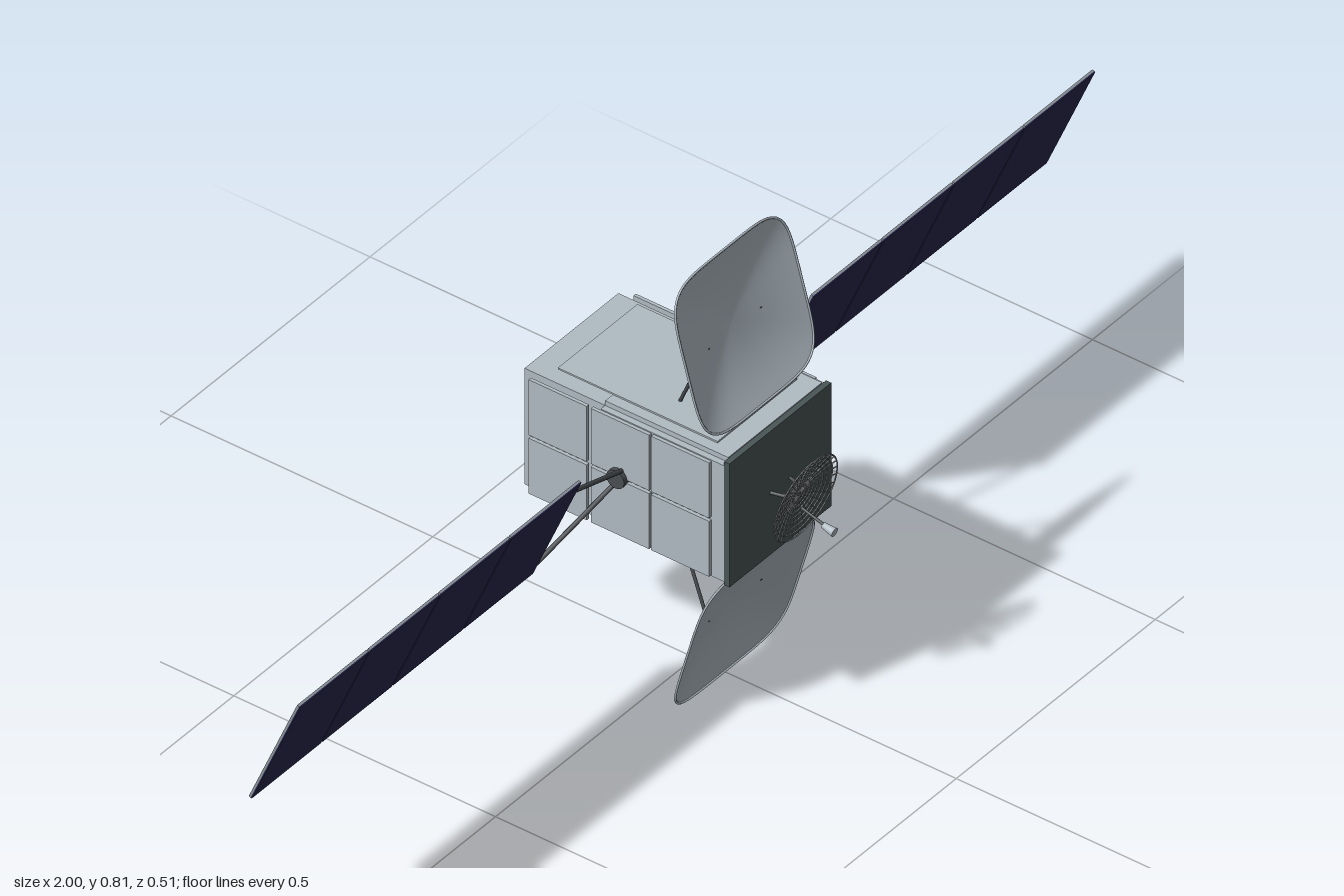
import * as THREE from 'three';

const CY = 0.409; // height of the satellite's axis
const mat = (name, color, side = THREE.FrontSide) => {
  const m = new THREE.MeshStandardMaterial({ color, side });
  m.name = name;
  return m;
};

export function createModel() {
  const root = new THREE.Group();
  root.name = 'satellite';
  const hull = mat('hull grey', 0xb0bbc3);
  const reflector = mat('reflector grey', 0xb0bbc3, THREE.DoubleSide);
  const slate = mat('slate', 0x4a5557);
  const navy = mat('solar navy', 0x2a2850);
  const backing = mat('panel backing grey', 0x899198);
  const dark = mat('strut grey', 0x4a4e52);
  const engineGrey = mat('engine grey', 0x747c82, THREE.DoubleSide);
  const meshGrey = mat('mesh grey', 0x868b8e);

  const add = (parent, name, geo, material, x = 0, y = 0, z = 0) => {
    const m = new THREE.Mesh(geo, material);
    m.name = name;
    m.position.set(x, y, z);
    parent.add(m);
    return m;
  };
  const box = (parent, name, material, w, h, d, x, y, z) =>
    add(parent, name, new THREE.BoxGeometry(w, h, d), material, x, y, z);
  const beam = (parent, name, material, a, b, r = 0.003) => {
    const p = new THREE.Vector3(...a), q = new THREE.Vector3(...b);
    const m = add(parent, name, new THREE.CylinderGeometry(r, r, p.distanceTo(q), 8), material);
    m.position.copy(p).lerp(q, 0.5);
    m.quaternion.setFromUnitVectors(new THREE.Vector3(0, 1, 0), q.sub(p).normalize());
    return m;
  };

  // Body: core box, dark front plate, top and bottom skins
  const body = new THREE.Group();
  body.name = 'body';
  root.add(body);
  box(body, 'core', hull, 0.236, 0.222, 0.39, 0, CY, -0.04);
  box(body, 'frontPlate', slate, 0.256, 0.236, 0.01, 0, CY, 0.159);
  for (const s of [-1, 1]) {
    box(body, 'skin', hull, 0.236, 0.01, 0.235, 0, CY + s * 0.115, 0.0365);
    box(body, 'outerPlate', hull, 0.2, 0.003, 0.305, 0, CY + s * 0.1225, -0.0325);
    // Side tiles, three by two, held off the core by small pegs
    for (const z of [0.075, -0.04, -0.159])
      for (const v of [-1, 1]) {
        box(body, 'sideTile', hull, 0.006, 0.106, 0.111, s * 0.132, CY + v * 0.056, z);
        box(body, 'tilePeg', dark, 0.014, 0.01, 0.01, s * 0.124, CY + v * 0.056, z);
      }
    box(body, 'sideFrame', hull, 0.012, 0.222, 0.235, s * 0.123, CY, 0.0365);
  }

  // Rear engine ring
  const ring = [[0, -0.005], [0.05, -0.005], [0.053, 0.008], [0.06, 0.008], [0.063, 0.001],
    [0.068, 0.001], [0.072, 0.02], [0.085, 0.02], [0.085, 0]].map(p => new THREE.Vector2(...p));
  const rings = [];
  ring.forEach((p, i) => { if (i) rings.push([ring[i - 1], p]); });
  const engine = new THREE.Group();
  engine.name = 'engine';
  engine.position.set(0, CY, -0.234);
  engine.rotation.x = -Math.PI / 2;
  root.add(engine);
  for (const seg of rings) add(engine, 'engineRing', new THREE.LatheGeometry(seg, 40), engineGrey);
  add(engine, 'nozzleDisc', new THREE.CylinderGeometry(0.05, 0.05, 0.004, 32), hull, 0, 0.004, 0);

  // Solar wings, tilted about the x axis
  const wings = new THREE.Group();
  wings.name = 'solarWings';
  wings.position.set(0, 0.411, -0.043);
  wings.rotation.x = 0.403;
  root.add(wings);
  for (const s of [-1, 1]) {
    const hub = add(wings, 'wingHub', new THREE.CylinderGeometry(0.017, 0.017, 0.03, 20), dark, s * 0.128);
    hub.rotation.z = Math.PI / 2;
    for (const v of [-1, 1])
      beam(wings, 'wingYoke', dark, [s * 0.135, v * 0.016, 0], [s * 0.293, v * 0.095, 0], 0.004);
    for (let i = 0; i < 4; i++) {
      const x = s * (0.379 + i * 0.1777), w = 0.174;
      box(wings, 'solarCells', navy, w, 0.236, 0.002, x, 0, 0.002);
      box(wings, 'solarBacking', backing, w, 0.236, 0.004, x, 0, -0.001);
      if (i) for (const v of [-1, 1])
        box(wings, 'panelHinge', dark, 0.012, 0.012, 0.003, x - s * 0.0888, v * 0.08, -0.002);
      // Fasteners on the rear
      for (const dx of [-0.055, 0.055])
        for (const y of [-0.085, 0.085])
          box(wings, 'fastener', dark, 0.005, 0.005, 0.002, x + dx, y, -0.0035);
    }
  }

  // Large rounded-square reflectors above and below
  const outline = t => {
    const c = Math.cos(t), n = Math.sin(t);
    const f = Math.pow(Math.abs(c) ** 5 + Math.abs(n) ** 5, -0.2);
    return [0.145 * f * c, 0.1365 * f * n];
  };
  const bowl = new THREE.RingGeometry(0.001, 1, 80, 10);
  const pos = bowl.attributes.position;
  for (let i = 0; i < pos.count; i++) {
    const r = Math.hypot(pos.getX(i), pos.getY(i));
    const [u, v] = outline(Math.atan2(pos.getY(i), pos.getX(i)));
    pos.setXYZ(i, u * r, v * r, -0.026 * (1 - r * r));
  }
  bowl.computeVertexNormals();
  const rimPoints = Array.from({ length: 64 }, (_, i) =>
    new THREE.Vector3(...outline(i * Math.PI / 32), 0));
  const rim = new THREE.TubeGeometry(new THREE.CatmullRomCurve3(rimPoints, true), 96, 0.002, 6, true);
  for (const s of [-1, 1]) {
    const dish = new THREE.Group();
    dish.name = s > 0 ? 'upperReflector' : 'lowerReflector';
    dish.position.set(0, CY + s * 0.273, 0.0955);
    dish.rotation.x = -s * 0.274;
    root.add(dish);
    add(dish, 'reflectorBowl', bowl, reflector);
    add(dish, 'reflectorRim', rim, hull);
    for (const x of [-1, 1])
      beam(root, 'reflectorStrut', dark, [x * 0.052, CY + s * 0.118, 0.01], [x * 0.066, CY + s * 0.262, 0.076]);
  }

  // Front mesh antenna: ribs and hoops on a shallow bowl
  const antenna = new THREE.Group();
  antenna.name = 'meshAntenna';
  antenna.position.set(0, CY, 0.199);
  antenna.rotation.x = 0.18;
  root.add(antenna);
  const depth = r => 0.014 * (r / 0.078) ** 2;
  for (let i = 1; i <= 9; i++) {
    const r = i * 0.0086;
    add(antenna, 'meshHoop', new THREE.TorusGeometry(r, 0.0014, 4, 36), meshGrey, 0, 0, depth(r));
  }
  for (let i = 0; i < 28; i++) {
    const a = i * Math.PI / 14, c = Math.cos(a), n = Math.sin(a);
    const path = new THREE.CatmullRomCurve3([0.004, 0.03, 0.055, 0.078].map(r =>
      new THREE.Vector3(r * c, r * n, depth(r))));
    add(antenna, 'meshRib', new THREE.TubeGeometry(path, 5, 0.0012, 4), meshGrey);
  }
  // Antenna mounts and feed arm
  for (const x of [-1, 1])
    beam(root, 'antennaMount', dark, [x * 0.025, CY, 0.16], [x * 0.015, CY, 0.2]);
  beam(root, 'feedArm', dark, [0.008, 0.388, 0.16], [0.016, 0.356, 0.236], 0.0025);
  const feed = add(root, 'feedHorn', new THREE.CylinderGeometry(0.005, 0.008, 0.022, 12), hull, 0.017, 0.352, 0.244);
  feed.rotation.x = -Math.PI / 2 + 0.2;

  return root;
}
